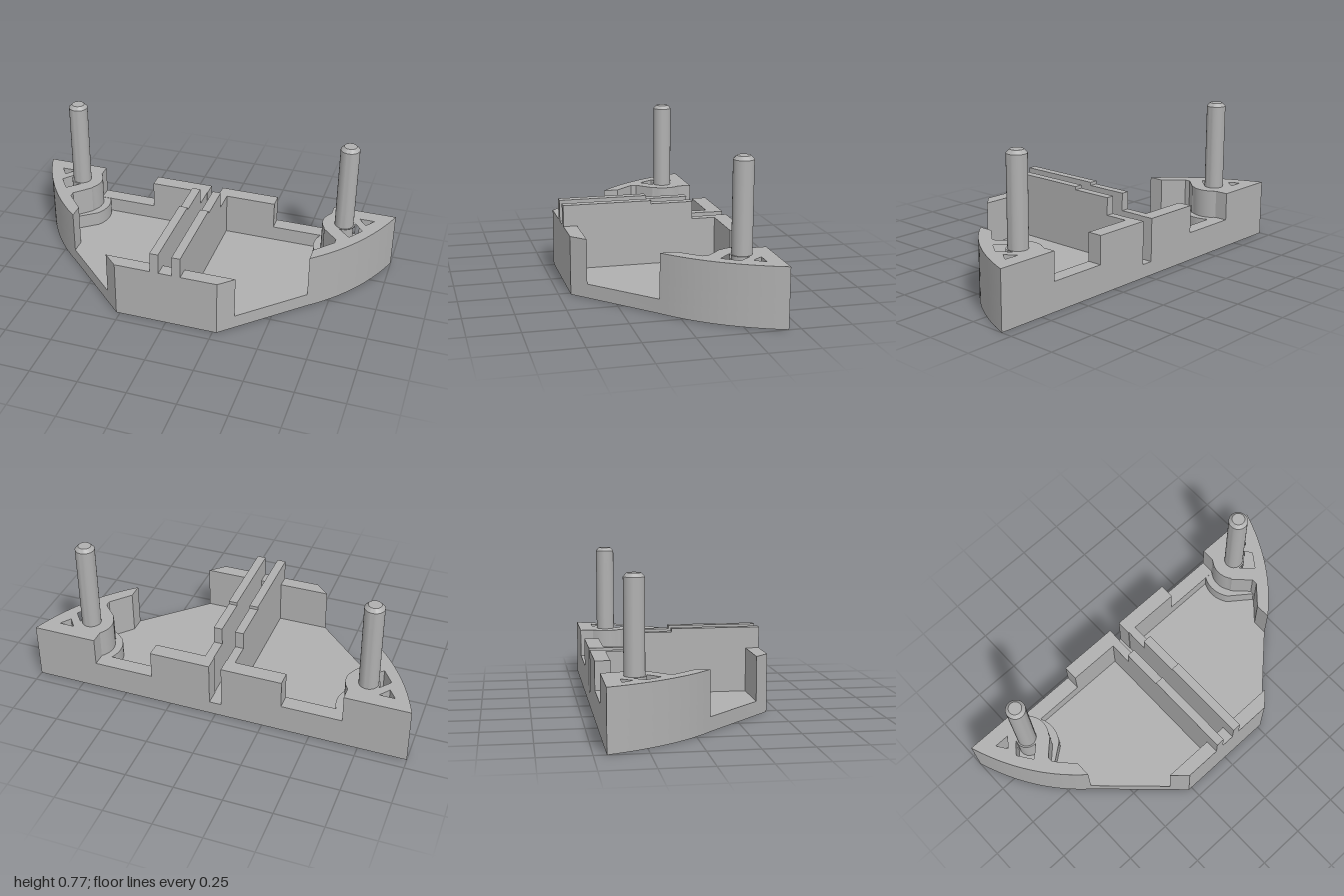
import * as THREE from 'three';
import { toCreasedNormals } from 'three/addons/utils/BufferGeometryUtils.js';

const PIN = [0.75, -0.29];

export function createModel() {
  const model = new THREE.Group();
  model.name = 'housingHalf';
  const grey = new THREE.MeshStandardMaterial({ color: 0xb0b0b0 });
  grey.name = 'grey plastic';

  const add = (name, geometry, x = 0, y = 0, z = 0) => {
    const mesh = new THREE.Mesh(geometry, grey);
    mesh.name = name;
    mesh.position.set(x, y, z);
    model.add(mesh);
    return mesh;
  };
  const box = (name, x0, x1, y0, y1, z0, z1) =>
    add(name, new THREE.BoxGeometry(x1 - x0, y1 - y0, z1 - z0), (x0 + x1) / 2, (y0 + y1) / 2, (z0 + z1) / 2);

  // Plan outlines are lists of [x, z]; slab raises one from y0 to y1
  const toV = (pts) => pts.map(([x, z]) => new THREE.Vector2(x, -z));
  const slab = (name, pts, y0, y1, holes = []) => {
    const shape = new THREE.Shape(toV(pts));
    shape.holes = holes.map((h) => new THREE.Path(toV(h)));
    const g = new THREE.ExtrudeGeometry(shape, { depth: y1 - y0, bevelEnabled: false });
    g.rotateX(-Math.PI / 2);
    return add(name, toCreasedNormals(g, 0.4), 0, y0, 0);
  };
  const flip = (pts, s) => pts.map(([x, z]) => [s * x, z]);
  const arc = (cx, cz, r, a0, a1, n) => Array.from({ length: n + 1 }, (_, i) => {
    const a = a0 + ((a1 - a0) * i) / n;
    return [cx + r * Math.cos(a), cz + r * Math.sin(a)];
  });
  const circle = (cx, cz, r, n = 32) => arc(cx, cz, r, 0, Math.PI * 2 * (1 - 1 / n), n - 1);
  const rect = (x0, x1, z, w = 0.034) => [[x0, z - w / 2], [x1, z - w / 2], [x1, z + w / 2], [x0, z + w / 2]];

  // Curved outer side, from the back corner to the diagonal
  const side = new THREE.QuadraticBezierCurve(
    new THREE.Vector2(1, -0.44), new THREE.Vector2(0.89, -0.12), new THREE.Vector2(0.65, 0.08),
  ).getPoints(18).map((p) => [p.x, p.y]);
  const half = [...side, [0.27, 0.44]];
  const outline = [...half, ...flip(half, -1).reverse()];

  // Floor: a grooved bottom layer under a plain one, both open at the screws
  const screwHoles = [1, -1].map((s) => circle(s * PIN[0], PIN[1], 0.115));
  const grooves = [rect(-0.57, 0.57, 0.083), rect(-0.48, 0.48, 0.195), rect(-0.37, 0.37, 0.306)];
  for (const [x0, x1, z] of [[0.49, 0.68, -0.03], [0.42, 0.56, -0.14], [0.39, 0.53, -0.25]]) {
    for (const s of [1, -1]) grooves.push(flip(rect(x0, x1, z), s));
  }
  slab('groovedUnderside', outline, 0, 0.015, [...screwHoles, ...grooves]);
  slab('floor', outline, 0.015, 0.072, screwHoles);

  // Front wall between the diagonals
  slab('frontWall', [[-0.344, 0.37], [0.344, 0.37], [0.27, 0.44], [-0.27, 0.44]], 0.07, 0.3);

  // End block with its curved inner edge, and the low ledge around it
  const inner = [
    [0.65, 0], [0.74, -0.1], [0.74, -0.13], [0.66, -0.21],
    ...arc(PIN[0], PIN[1], 0.115, 2.5, Math.PI + 0.65, 8), [0.665, -0.37], [0.665, -0.44],
  ];
  const block = [...side, ...inner];
  const ledge = [
    [0.8, -0.12], [0.74, -0.11],
    ...arc(PIN[0], PIN[1], 0.155, 2.5, Math.PI + 0.48, 10), [0.61, -0.37], [0.8, -0.37],
  ];
  const triangle = [[0.9, -0.362], [0.82, -0.362], [0.862, -0.308]];
  const pocket = [
    [0.855, -0.25], [0.8, -0.172], [0.738, -0.232],
    ...arc(PIN[0], PIN[1], 0.058, 1.5, -0.35, 6), [0.815, -0.3],
  ];

  const pinProfile = [[0.05, 0.07], [0.05, 0.752], [0.033, 0.77], [0, 0.77]];
  const recessProfile = [[0.085, 0.07], [0.115, 0], [0.117, 0.07], [0.085, 0.07]];
  const lathe = (pts) => toCreasedNormals(
    new THREE.LatheGeometry(pts.map(([x, y]) => new THREE.Vector2(x, y)), 32), 0.5);

  for (const s of [1, -1]) {
    const label = s > 0 ? 'left' : 'right';
    slab(label + 'BlockBase', flip(block, s), 0.07, 0.15);
    slab(label + 'BlockTop', flip(block, s), 0.15, 0.3, [flip(triangle, s), flip(pocket, s)]);
    slab(label + 'Ledge', flip(ledge, s), 0.07, 0.15);

    // Screw: shaft above, countersunk head with a six-lobed socket below
    add(label + 'ScrewShaft', lathe(pinProfile), s * PIN[0], 0, PIN[1]);
    add(label + 'ScrewRecess', lathe(recessProfile), s * PIN[0], 0, PIN[1]);
    const star = Array.from({ length: 36 }, (_, i) => {
      const a = (i / 36) * Math.PI * 2;
      const r = 0.038 + 0.008 * Math.cos(6 * a);
      return [s * PIN[0] + r * Math.cos(a), PIN[1] + r * Math.sin(a)];
    });
    slab(label + 'ScrewHead', circle(s * PIN[0], PIN[1], 0.084), 0.025, 0.07, [star]);

    // Back wall: high beside the slot, low towards the end block
    const wall = (name, a, b, y1) =>
      box(label + name, Math.min(s * a, s * b), Math.max(s * a, s * b), 0.07, y1, -0.44, -0.362);
    wall('BackWallHigh', 0.032, 0.35, 0.3);
    wall('BackWallLow', 0.35, 0.67, 0.152);

    // Stepped centre rib
    const x0 = s > 0 ? 0.035 : -0.08;
    const rib = (name, y1, z0, z1) => box(label + name, x0, x0 + 0.045, 0.07, y1, z0, z1);
    rib('RibBack', 0.3, -0.37, -0.24);
    rib('RibMiddle', 0.393, -0.24, -0.02);
    rib('RibFront', 0.41, -0.02, 0.44);
  }
  return model;
}
